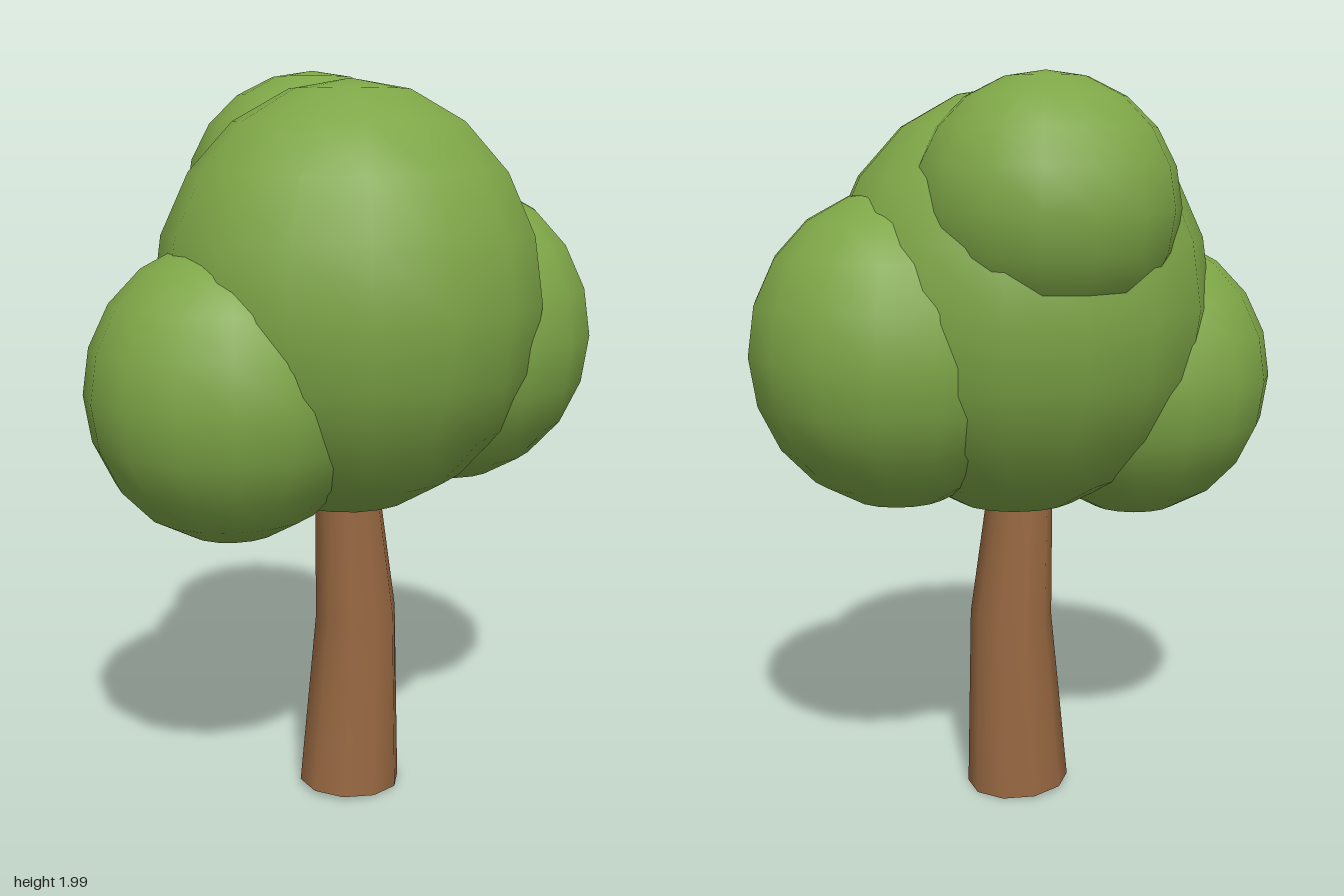
import * as THREE from 'three';

export function createModel() {
  const tree = new THREE.Group();
  tree.name = 'tree';
  const leafGreen = new THREE.MeshStandardMaterial({ name: 'leafGreen', color: 0x7ea647 });
  const barkBrown = new THREE.MeshStandardMaterial({ name: 'barkBrown', color: 0x976841 });

  // Foliage: overlapping stretched spheres [name, centre, radii]
  const lobes = [
    ['mainCrown', [0, 1.4, 0.025], [0.53, 0.575, 0.495]],
    ['leftLobe', [0.34, 1.29, 0.01], [0.395, 0.42, 0.377]],
    ['rightLobe', [-0.355, 1.185, 0.02], [0.38, 0.395, 0.362]],
    ['backLobe', [0, 1.66, -0.18], [0.348, 0.34, 0.345]],
  ];
  for (const [name, centre, radii] of lobes) {
    const lobe = new THREE.Mesh(new THREE.SphereGeometry(1, 16, 10), leafGreen);
    lobe.name = name;
    lobe.position.set(...centre);
    lobe.scale.set(...radii);
    tree.add(lobe);
  }

  // Trunk: a cylinder bent and tapered through rings {y, centre x, radii, tilt}, base first
  const rings = [
    { y: 0.012, x: 0, rx: 0.145, rz: 0.137, tilt: -0.05 },
    { y: 0.52, x: 0.02, rx: 0.115, rz: 0.11, tilt: 0.06 },
    { y: 1.1, x: -0.025, rx: 0.075, rz: 0.075, tilt: 0.1 },
  ];
  const geometry = new THREE.CylinderGeometry(1, 1, 2, 10, 2);
  const p = geometry.attributes.position;
  for (let i = 0; i < p.count; i++) {
    const r = rings[Math.round(p.getY(i)) + 1];
    const dx = p.getX(i) * r.rx;
    p.setXYZ(i, r.x + dx, r.y + dx * r.tilt, 0.022 + p.getZ(i) * r.rz);
  }
  geometry.computeVertexNormals();
  // Average the normals across the side seam
  const n = geometry.attributes.normal;
  for (let row = 0; row < 3; row++) {
    const a = row * 11, b = a + 10;
    const v = new THREE.Vector3().fromBufferAttribute(n, a)
      .add(new THREE.Vector3().fromBufferAttribute(n, b)).normalize();
    n.setXYZ(a, v.x, v.y, v.z);
    n.setXYZ(b, v.x, v.y, v.z);
  }
  const trunk = new THREE.Mesh(geometry, barkBrown);
  trunk.name = 'trunk';
  tree.add(trunk);

  return tree;
}
